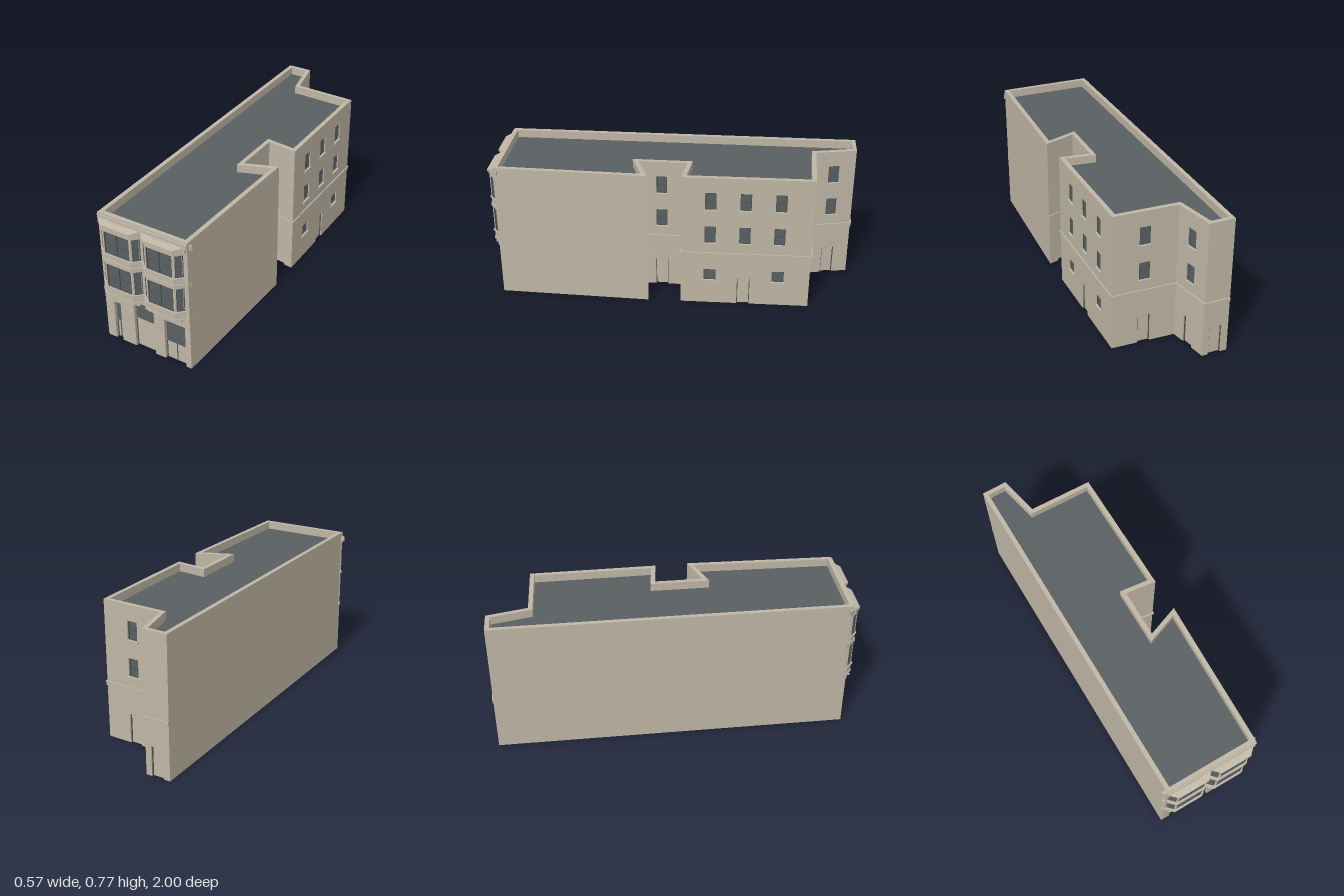
import * as THREE from 'three';

const stone = new THREE.MeshStandardMaterial({ color: 0xbfb6a5 });
stone.name = 'stone';
const slate = new THREE.MeshStandardMaterial({ color: 0x596062 });
slate.name = 'slateAndGlass';
const frameMat = new THREE.MeshStandardMaterial({ color: 0x4e5456 });
frameMat.name = 'darkFrame';

const WALL = 0.024, HEIGHT = 0.775;

// Building outline [x, z], counterclockwise from above, starting at the front
const outline = [
  [-0.27, 0.955], [0.255, 0.955], [0.275, 0.125], [0.10, 0.19], [0.10, -0.075],
  [0.27, -0.055], [0.26, -0.76], [-0.09, -0.77], [-0.14, -0.993], [-0.28, -0.993],
].map(([x, z]) => new THREE.Vector2(x, z));

function mesh(name, geo, mat, parent) {
  const m = new THREE.Mesh(geo, mat);
  m.name = name;
  parent.add(m);
  return m;
}

function box(name, x0, x1, y0, y1, z0, z1, mat, parent) {
  const m = mesh(name, new THREE.BoxGeometry(x1 - x0, y1 - y0, z1 - z0), mat, parent);
  m.position.set((x0 + x1) / 2, (y0 + y1) / 2, (z0 + z1) / 2);
  return m;
}

// Mitre factor at a corner: shift along the wall per unit of inward depth
function mitre(a, b, c) {
  const d1 = b.clone().sub(a).normalize(), d2 = c.clone().sub(b).normalize();
  const turn = Math.atan2(-(d1.x * d2.y - d1.y * d2.x), d1.dot(d2));
  return Math.tan(turn / 2);
}

// Moves a closed outline inward by t
function inset(pts, t) {
  const n = pts.length;
  return pts.map((p, i) => {
    const next = pts[(i + 1) % n];
    const d = next.clone().sub(p).normalize();
    const k = mitre(pts[(i + n - 1) % n], p, next);
    return new THREE.Vector2(p.x + t * (d.y + d.x * k), p.y + t * (-d.x + d.y * k));
  });
}

function prism(name, pts, y0, y1, mat, parent) {
  const shape = new THREE.Shape(pts.map((p) => new THREE.Vector2(p.x, -p.y)));
  const geo = new THREE.ExtrudeGeometry(shape, { depth: y1 - y0, bevelEnabled: false });
  geo.rotateX(-Math.PI / 2).translate(0, y0, 0);
  return mesh(name, geo, mat, parent);
}

// One wall: local x runs along it, z points outward; openings are cut through
function wall(name, a, b, k0, k1, y0, y1, z0, z1, openings, parent) {
  const len = a.distanceTo(b);
  const g = new THREE.Group();
  g.name = name;
  g.position.set(a.x, 0, a.y);
  g.rotation.y = Math.atan2(-(b.y - a.y), b.x - a.x);
  parent.add(g);
  const shape = new THREE.Shape().moveTo(0, y0);
  const toFloor = openings.filter((o) => o.y0 <= y0).sort((p, q) => p.x0 - q.x0);
  for (const o of toFloor) shape.lineTo(o.x0, y0).lineTo(o.x0, o.y1).lineTo(o.x1, o.y1).lineTo(o.x1, y0);
  shape.lineTo(len, y0).lineTo(len, y1).lineTo(0, y1);
  for (const o of openings.filter((o) => o.y0 > y0)) {
    shape.holes.push(new THREE.Path().moveTo(o.x0, o.y0).lineTo(o.x0, o.y1).lineTo(o.x1, o.y1).lineTo(o.x1, o.y0));
  }
  const geo = new THREE.ExtrudeGeometry(shape, { depth: z1 - z0, bevelEnabled: false }).translate(0, 0, z0);
  const p = geo.attributes.position;
  for (let i = 0; i < p.count; i++) {
    const x = p.getX(i);
    if (x < 1e-5) p.setX(i, x - p.getZ(i) * k0);
    else if (x > len - 1e-5) p.setX(i, x + p.getZ(i) * k1);
  }
  geo.computeVertexNormals();
  mesh(name + 'Masonry', geo, stone, g);
  openings.forEach((o) => fill(o, g));
  return g;
}

// A chain of mitred walls
function run(name, pts, closed, y0, y1, z0, z1, openings, parent) {
  const n = pts.length, at = (i) => pts[(i + n) % n];
  for (let i = 0; i < (closed ? n : n - 1); i++) {
    const k0 = closed || i > 0 ? mitre(at(i - 1), at(i), at(i + 1)) : 0;
    const k1 = closed || i < n - 2 ? mitre(at(i), at(i + 1), at(i + 2)) : 0;
    wall(name + (i + 1), at(i), at(i + 1), k0, k1, y0, y1, z0, z1, openings[i] || [], parent);
  }
}

// Frame, glass, doors and sills inside an opening
function fill(o, g) {
  const { x0, x1, y0, y1 } = o, w = o.bar || 0.005, d = o.depth || 0.012;
  const bar = (a, b, c, e) => box('frameBar', a, b, c, e, -d, -d + 0.006, frameMat, g);
  if (o.kind === 'shop') {
    box('shopGlass', x0, x1, o.split, y1, -d - 0.004, -d, slate, g);
    box('shopPanel', x0, x1, 0, o.split, -d - 0.004, -d, stone, g);
    for (const x of o.posts || []) box('shopPost', x - 0.002, x + 0.002, 0, o.split, -d, -d + 0.004, slate, g);
    return;
  }
  bar(x0, x0 + w, y0, y1);
  bar(x1 - w, x1, y0, y1);
  bar(x0, x1, y1 - w, y1);
  if (o.kind === 'door') {
    box('door', x0, x1, y0, y1, -d - 0.005, -d, stone, g);
    return;
  }
  box('glass', x0, x1, y0, y1, -d - 0.004, -d, slate, g);
  bar(x0, x1, y0, y0 + w);
  if (o.rail) bar(x0, x1, (y0 + y1) / 2 - w / 2, (y0 + y1) / 2 + w / 2);
  if (o.mullion) bar((x0 + x1) / 2 - w / 2, (x0 + x1) / 2 + w / 2, y0, y1);
  if (o.sill) box('sill', x0 - 0.006, x1 + 0.006, y0 - 0.012, y0, -0.01, 0.006, stone, g);
}

const opening = (u, half, y0, y1, extra) => ({ x0: u - half, x1: u + half, y0, y1, ...extra });
const door = (u) => opening(u, 0.035, 0, 0.165, { kind: 'door', bar: 0.004 });
const sashes = (u) => [[0.382, 0.484], [0.585, 0.687]].map(([a, b]) =>
  opening(u, 0.03, a, b, { rail: true, sill: true }));
const smallWindow = (u) => opening(u, 0.033, 0.147, 0.215, { sill: true });

// Angled two-storey bay window
function bay(cx, root) {
  const g = new THREE.Group();
  g.name = 'bayWindow';
  root.add(g);
  const V = (x, z) => new THREE.Vector2(cx + x, z);
  const pts = [V(-0.134, 0.94), V(-0.083, 0.991), V(0.083, 0.991), V(0.134, 0.94)];
  const side = pts[0].distanceTo(pts[1]);
  const rows = [[0.367, 0.505], [0.573, 0.70]];
  const sideWindows = (u) => rows.map(([a, b]) => opening(u, 0.021, a, b, { rail: true, depth: 0.007, bar: 0.004 }));
  const main = rows.map(([a, b]) => opening(0.083, 0.075, a, b, { rail: true, mullion: true, depth: 0.007, bar: 0.004 }));
  run('bayWall', pts, false, 0.31, 0.735, -0.012, 0, [sideWindows(side - 0.029), main, sideWindows(0.029)], g);
  prism('bayFloor', inset(pts, 0.002), 0.305, 0.316, stone, g);
  prism('bayBaseMoulding', inset(pts, -0.004), 0.31, 0.32, stone, g);
  prism('bayBand', inset(pts, -0.005), 0.517, 0.534, stone, g);
  for (const [y] of rows) run('baySill', pts, false, y - 0.005, y, -0.008, 0.007, [], g);
  prism('bayCornice', inset(pts, -0.004), 0.716, 0.728, stone, g);
  // Roof rising toward the wall
  const roof = prism('bayRoof', inset(pts, -0.009), 0.728, 0.74, stone, g);
  const p = roof.geometry.attributes.position;
  for (let i = 0; i < p.count; i++) if (p.getY(i) > 0.735 && p.getZ(i) < 0.97) p.setY(i, 0.757);
  roof.geometry.computeVertexNormals();
  // Shallow arch above the roof
  const arch = new THREE.Shape().moveTo(-0.11, 0.735).lineTo(0.11, 0.735).lineTo(0.11, 0.742)
    .quadraticCurveTo(0, 0.76, -0.11, 0.742);
  const archGeo = new THREE.ExtrudeGeometry(arch, { depth: 0.02, bevelEnabled: false, curveSegments: 8 });
  mesh('bayArch', archGeo, stone, g).position.set(cx, 0, 0.95);
  // Stepped brackets under the bay
  for (const s of [-1, 1]) {
    const x = cx + s * 0.083;
    box('bracketUpper', x - 0.026, x + 0.026, 0.301, 0.31, 0.94, 0.982, stone, g);
    box('bracketLower', x - 0.014, x + 0.014, 0.295, 0.301, 0.94, 0.972, stone, g);
  }
}

export function createModel() {
  const root = new THREE.Group();
  root.name = 'building';

  // Openings for each wall, in outline order
  const shop = (a, b, top, split, posts) => ({
    x0: a + 0.27, x1: b + 0.27, y0: 0, y1: top, split, kind: 'shop', depth: 0.019,
    posts: (posts || []).map((x) => x + 0.27),
  });
  const openings = [
    [shop(-0.218, -0.176, 0.24, 0.108, [-0.216, -0.197, -0.178]),
      shop(-0.09, 0.034, 0.292, 0.178, [-0.088, 0.032]),
      shop(0.097, 0.223, 0.254, 0.108, [0.099, 0.16, 0.221])],
    [],
    [door(0.093)],
    [door(0.125), ...sashes(0.125)],
    [door(0.085)],
    [smallWindow(0.158), door(0.345), smallWindow(0.532), ...[0.158, 0.345, 0.532].flatMap(sashes)],
    [door(0.175), ...sashes(0.175)],
    [door(0.108), ...sashes(0.108)],
    [door(0.068)],
    [],
  ];
  run('wall', outline, true, 0, HEIGHT, -WALL, 0, openings, root);

  // Roof deck behind the parapet
  prism('roofDeck', inset(outline, WALL - 0.001), 0.72, 0.73, slate, root);

  // String course around the rear, and mouldings across the front
  run('stringCourse', outline.slice(2), false, 0.298, 0.316, 0, 0.004, [], root);
  run('stringCourseLip', outline.slice(2), false, 0.316, 0.323, 0, 0.007, [], root);
  box('frontStringCourse', -0.27, 0.255, 0.298, 0.32, 0.95, 0.96, stone, root);
  box('frontCornice', -0.27, 0.255, 0.745, 0.766, 0.95, 0.963, stone, root);
  for (const x of [-0.26, 0.243]) {
    box('corniceBracket', x - 0.006, x + 0.006, 0.72, 0.745, 0.95, 0.966, stone, root);
  }

  bay(-0.139, root);
  bay(0.113, root);
  return root;
}
